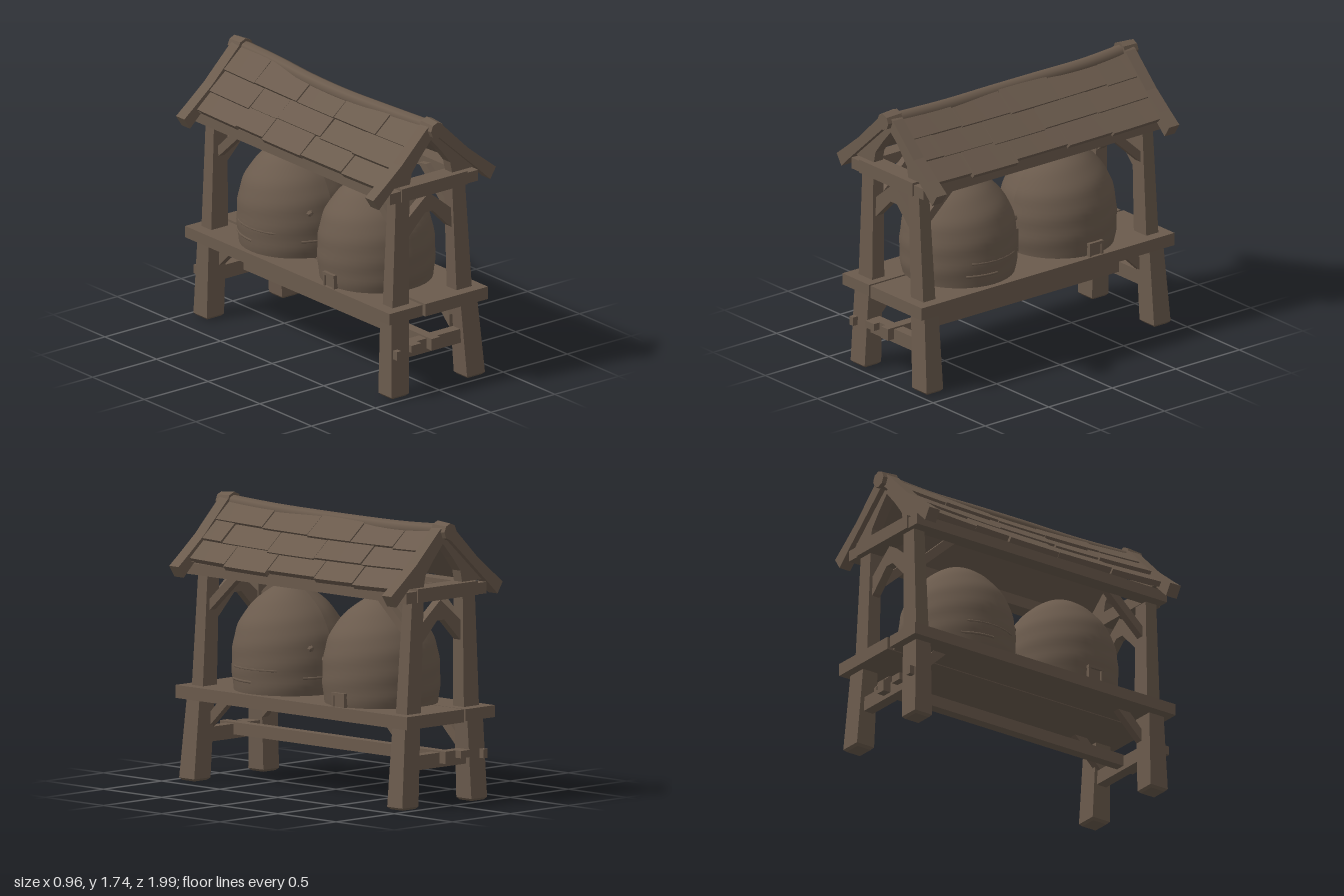
import * as THREE from 'three';

const wood = new THREE.MeshStandardMaterial({ color: 0x6b5b4d });
wood.name = 'weatheredBrown';

let seed = 7;
const rnd = () => (seed = (seed * 16807) % 2147483647) / 2147483647;
const jit = (a) => (rnd() - 0.5) * 2 * a;

export function createModel() {
  const group = new THREE.Group();
  const add = (name, geo, parent = group) => {
    const m = new THREE.Mesh(geo, wood);
    m.name = name;
    parent.add(m);
    return m;
  };
  // Axis-aligned box from its limits
  const box = (name, x0, x1, y0, y1, z0, z1) => {
    const m = add(name, new THREE.BoxGeometry(x1 - x0, y1 - y0, z1 - z0));
    m.position.set((x0 + x1) / 2, (y0 + y1) / 2, (z0 + z1) / 2);
    return m;
  };
  // Upright whose rectangle [x0, x1, z0, z1] changes from bottom to top
  const taper = (name, y0, y1, a, b) => {
    const g = new THREE.BoxGeometry(1, 1, 1);
    const p = g.attributes.position;
    for (let i = 0; i < p.count; i++) {
      const r = p.getY(i) < 0 ? a : b;
      p.setXYZ(i, p.getX(i) < 0 ? r[0] : r[1], p.getY(i) < 0 ? y0 : y1,
        p.getZ(i) < 0 ? Math.min(r[2], r[3]) : Math.max(r[2], r[3]));
    }
    g.computeVertexNormals();
    return add(name, g);
  };
  // Extruded outline in the xy plane, between two z values
  const plate = (name, pts, z0, z1) => {
    const s = new THREE.Shape(pts.map((q) => new THREE.Vector2(...q)));
    const m = add(name, new THREE.ExtrudeGeometry(s, { depth: z1 - z0, bevelEnabled: false }));
    m.position.z = z0;
    return m;
  };
  const mirrored = (pts) => [...pts, ...pts.filter((q) => q[0] > 0).reverse().map(([x, y]) => [-x, y])];
  const span = (s, a, b) => (s > 0 ? [a, b] : [-b, -a]);

  // Deck: two planks with a narrow gap, notched only at the ends
  box('deckPlankWide', -0.105, 0.385, 0.5, 0.58, -0.995, 0.995);
  box('deckPlankNarrow', -0.38, -0.125, 0.505, 0.578, -0.99, 0.99);
  box('deckJoint', -0.13, -0.1, 0.505, 0.565, -0.95, 0.95);

  for (const s of [1, -1]) {
    // Legs below the deck and posts above it
    const low = [s * 0.83, s * 0.96];
    const mid = [s * 0.83, s * 0.94];
    const top = [s * 0.84, s * 0.92];
    taper('leftLeg', 0.015, 0.5, [0.25, 0.39, ...low], [0.215, 0.345, ...mid]);
    taper('leftLegFoot', 0, 0.015, [0.265, 0.375, s * 0.845, s * 0.945], [0.25, 0.39, ...low]);
    taper('rightLeg', 0.015, 0.5, [-0.34, -0.205, ...low], [-0.325, -0.19, ...mid]);
    taper('rightLegFoot', 0, 0.015, [-0.325, -0.22, s * 0.845, s * 0.945], [-0.34, -0.205, ...low]);
    taper('leftPost', 0.58, 1.28, [0.195, 0.315, s * 0.83, s * 0.925], [0.165, 0.265, ...top]);
    taper('rightPost', 0.58, 1.28, [-0.305, -0.175, s * 0.83, s * 0.925], [-0.275, -0.17, ...top]);

    // Cross stretcher, tie beam and pegs
    box('crossStretcher', -0.24, 0.27, 0.23, 0.32, ...span(s, 0.85, 0.92));
    box('stretcherPeg', -0.19, -0.11, 0.275, 0.32, ...span(s, 0.9, 0.965));
    box('legPeg', -0.32, -0.285, 0.26, 0.315, ...span(s, 0.92, 0.985));
    box('tieBeam', -0.26, 0.255, 1.265, 1.35, ...span(s, 0.835, 0.96));

    // Inverted V brace under the tie beam
    plate('archBrace', mirrored([[0, 1.255], [0.19, 1.1], [0.19, 0.98], [0.16, 1.0], [0.03, 1.13], [0, 1.14]])
      .filter((q, i) => i !== 5), ...span(s, 0.845, 0.9));

    // Gable rafters framing a pointed opening
    for (const k of [1, -1]) {
      const flip = (pts) => pts.map(([x, y]) => [x * k, y]);
      plate('gableRafter', flip([[0, 1.7], [0.37, 1.35], [0.165, 1.35], [0.15, 1.42], [0.08, 1.51], [0, 1.6]]), ...span(s, 0.85, 0.92));
      plate('bargeBoard', flip([[0, 1.73], [0.06, 1.695], [0.26, 1.5], [0.39, 1.395], [0.48, 1.325],
        [0.435, 1.255], [0.35, 1.335], [0.2, 1.47], [0, 1.65]]), ...span(s, 0.875, 0.955));
      // Corner braces to the eaves plate and under the deck
      const bx = k > 0 ? 0.2 : -0.245;
      for (const [name, pts] of [
        ['upperBrace', [[0.85, 1.03], [0.85, 1.1], [0.62, 1.31], [0.55, 1.3]]],
        ['lowerBrace', [[0.85, 0.32], [0.85, 0.4], [0.74, 0.51], [0.65, 0.51]]],
      ]) {
        const m = plate(name, pts.map(([z, y]) => [-z * s, y]), 0, 0.05);
        m.rotation.y = Math.PI / 2;
        m.position.set(bx, 0, 0);
      }
    }
    // Knobbly ridge end
    const knob = add('ridgeEnd', new THREE.CylinderGeometry(0.052, 0.06, 0.11, 8).toNonIndexed());
    knob.geometry.computeVertexNormals();
    knob.rotation.x = s * Math.PI / 2;
    knob.position.set(0, 1.68, s * 0.93);
  }

  // Long stretcher and eaves plates
  box('longStretcher', -0.035, 0.03, 0.255, 0.33, -0.97, 0.97);
  box('leftEavesPlate', 0.24, 0.345, 1.265, 1.335, -0.95, 0.95);
  box('rightEavesPlate', -0.345, -0.24, 1.265, 1.335, -0.95, 0.95);

  // Sagging ridge pole
  const sag = (z) => -0.025 * (1 - (z / 0.95) ** 2);
  const ridgePts = [-0.95, -0.6, -0.25, 0.1, 0.5, 0.95].map((z, i) =>
    new THREE.Vector3([0, 0.01, -0.01, -0.015, 0, 0.005][i], 1.68 + sag(z), z));
  add('ridgePole', new THREE.TubeGeometry(new THREE.CatmullRomCurve3(ridgePts), 24, 0.045, 8));

  // Roof: a backing board and three overlapping shingle courses per side
  const angle = 0.715;
  for (const k of [1, -1]) {
    const slope = new THREE.Group();
    slope.name = k > 0 ? 'leftRoofSlope' : 'rightRoofSlope';
    slope.position.set(0, 1.705, 0);
    slope.rotation.z = -k * angle;
    group.add(slope);
    const slab = (name, s0, s1, y, t, z0, z1, tilt) => {
      const g = new THREE.BoxGeometry(s1 - s0, t, z1 - z0, 1, 1, 4);
      const m = add(name, g, slope);
      const p = g.attributes.position;
      const zc = (z0 + z1) / 2;
      for (let i = 0; i < p.count; i++) p.setY(i, p.getY(i) + sag(p.getZ(i) + zc));
      g.computeVertexNormals();
      m.position.set(k * (s0 + s1) / 2, y - t / 2, zc);
      m.rotation.z = k * tilt;
    };
    slab('roofBacking', 0.02, 0.48, -0.02, 0.025, -0.88, 0.88, 0);
    [[0.02, 0.21, 0.018], [0.17, 0.36, 0.01], [0.32, 0.515, 0.002]].forEach(([s0, s1, y], row) => {
      let z = -0.89;
      while (z < 0.88) {
        let z1 = z + 0.24 + rnd() * 0.18;
        if (z1 > 0.75) z1 = 0.89;
        slab('shingle', s0, s1 + jit(0.014), y + jit(0.005), 0.035, z + 0.003, z1 - 0.003, 0.03 + jit(0.025));
        z = z1;
      }
    });
  }

  // Two domed hives with gently uneven walls and a framed entrance
  const profile = [[0.345, 0.575], [0.357, 0.65], [0.36, 0.74], [0.355, 0.84], [0.335, 0.94], [0.3, 1.02],
    [0.25, 1.09], [0.19, 1.15], [0.11, 1.205], [0.05, 1.228], [0.0001, 1.235]];
  for (const s of [1, -1]) {
    const hive = new THREE.Group();
    hive.name = s > 0 ? 'frontHive' : 'backHive';
    hive.position.z = s * 0.39;
    hive.rotation.y = s > 0 ? Math.PI : 0;
    group.add(hive);
    const curve = new THREE.SplineCurve(profile.map((q) => new THREE.Vector2(...q)));
    const g = new THREE.LatheGeometry(curve.getPoints(36), 36);
    const p = g.attributes.position;
    for (let i = 0; i < p.count; i++) {
      const x = p.getX(i), y = p.getY(i), z = p.getZ(i);
      const f = 1 + 0.006 * Math.sin(y * 45 + 2 * Math.atan2(z, x));
      p.setXYZ(i, x * f, y, z * f);
    }
    g.computeVertexNormals();
    add('hiveDome', g, hive);
    const part = (name, w, h, d, x, y, z) =>
      add(name, new THREE.BoxGeometry(w, h, d), hive).position.set(x, y, z);
    part('entranceLintel', 0.05, 0.018, 0.11, 0.352, 0.658, 0);
    for (const k of [1, -1]) part('entranceJamb', 0.045, 0.075, 0.014, 0.352, 0.615, k * 0.046);
    part('entranceDoor', 0.03, 0.07, 0.08, 0.348, 0.615, 0);
    // Raised straw seams and knots on the side away from the entrance
    for (const [y, a, len, r] of [[0.735, 3.1, 1.0, 0.357], [0.655, 3.4, 0.6, 0.355], [0.69, 1.9, 0.5, 0.358]]) {
      const seam = add('strawSeam', new THREE.TorusGeometry(r, 0.008, 5, 14, len), hive);
      seam.rotation.set(Math.PI / 2, 0, a - len / 2);
      seam.position.y = y;
    }
    for (const [a, y, r] of [[2.0, 0.87, 0.35], [1.75, 0.8, 0.357]]) {
      const knot = add('strawKnot', new THREE.IcosahedronGeometry(0.022, 0), hive);
      knot.position.set(Math.cos(a) * r, y, Math.sin(a) * r);
    }
  }
  // Small wedge between the hives
  box('hiveWedge', -0.06, 0.06, 0.6, 0.75, -0.035, 0.04);

  return group;
}
